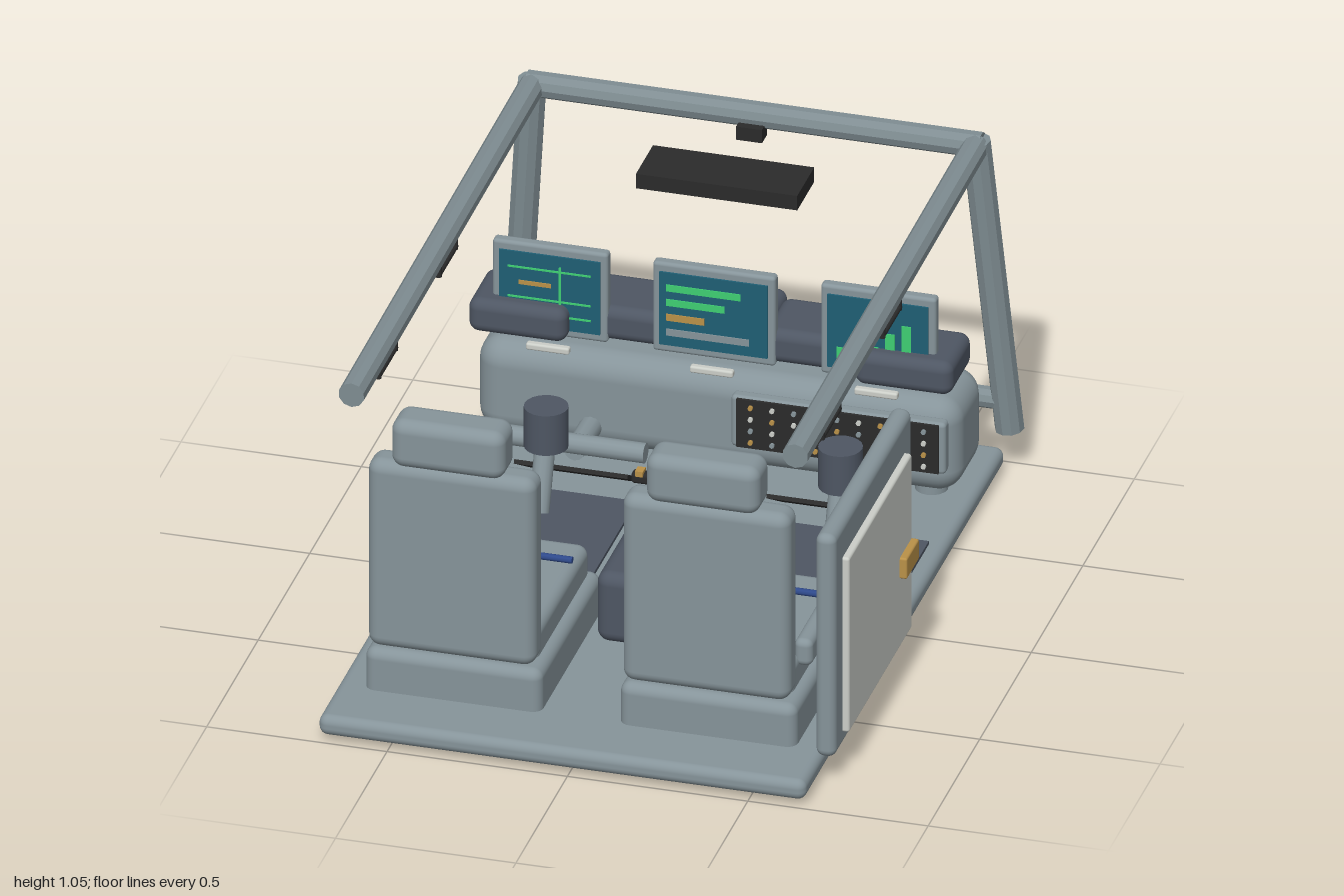
import * as THREE from 'three';
import { RoundedBoxGeometry } from 'three/addons/geometries/RoundedBoxGeometry.js';

const mat = (name, color, flat = false) => {
  const m = new THREE.MeshStandardMaterial({ color });
  m.name = name;
  m.flatShading = flat;
  return m;
};

export function createModel() {
  const body = mat('greyBody', 0x86949a);
  const cageMat = mat('greyCage', 0x7f8d92, true);
  const slate = mat('slatePadding', 0x4e5663);
  const black = mat('blackTrim', 0x2b2b2b);
  const pale = mat('palePanel', 0xcbcec8);
  const gold = mat('goldFitting', 0xba9148);
  const teal = mat('tealScreen', 0x1f5f74);
  const green = mat('greenReadout', 0x3fcf72);
  const blue = mat('blueWebbing', 0x2f4a8c);

  const root = new THREE.Group();
  root.name = 'vehicleCockpit';
  const cabin = new THREE.Group();
  cabin.name = 'cabin';
  cabin.position.x = -0.018;
  root.add(cabin);

  const group = (name, x = 0, y = 0, z = 0) => {
    const g = new THREE.Group();
    g.name = name;
    g.position.set(x, y, z);
    cabin.add(g);
    return g;
  };
  const add = (parent, name, geo, m, x = 0, y = 0, z = 0) => {
    const mesh = new THREE.Mesh(geo, m);
    mesh.name = name;
    mesh.position.set(x, y, z);
    parent.add(mesh);
    return mesh;
  };
  const box = (p, name, m, w, h, d, x, y, z) =>
    add(p, name, new THREE.BoxGeometry(w, h, d), m, x, y, z);
  const soft = (p, name, m, w, h, d, r, x, y, z) =>
    add(p, name, new RoundedBoxGeometry(w, h, d, 4, r), m, x, y, z);
  // Cylinder between two points
  const rod = (p, name, m, a, b, r, sides = 12, r2 = r) => {
    const A = new THREE.Vector3(...a), B = new THREE.Vector3(...b);
    const dir = B.clone().sub(A);
    const mesh = add(p, name, new THREE.CylinderGeometry(r2, r, dir.length(), sides), m);
    mesh.position.copy(A.add(B).multiplyScalar(0.5));
    mesh.quaternion.setFromUnitVectors(new THREE.Vector3(0, 1, 0), dir.normalize());
    return mesh;
  };

  // Floor, mats and centre console
  soft(cabin, 'floor', body, 1.35, 0.06, 1.95, 0.025, 0, 0.048, 0.025);
  for (const s of [-1, 1]) box(cabin, 'floorMat', slate, 0.45, 0.012, 0.57, s * 0.405, 0.082, -0.08);
  soft(cabin, 'centreConsole', slate, 0.15, 0.21, 0.71, 0.035, 0, 0.185, 0.055);

  // Shift lever
  const lever = group('shiftLever', 0, 0, 0.09);
  add(lever, 'boot', new THREE.CylinderGeometry(0.035, 0.052, 0.045, 16), black, 0, 0.3, 0.005);
  rod(lever, 'stalk', body, [0, 0.31, 0.02], [0, 0.41, 0], 0.01);
  soft(lever, 'gripBar', black, 0.128, 0.032, 0.034, 0.01, 0, 0.42, -0.005);
  for (const s of [-1, 1]) box(lever, 'gripButton', gold, 0.022, 0.016, 0.03, s * 0.04, 0.437, 0);

  // Seats
  for (const s of [-1, 1]) {
    const seat = group('seat', s * 0.353);
    soft(seat, 'seatBase', body, 0.49, 0.2, 0.6, 0.03, 0, 0.1, 0.52);
    soft(seat, 'cushion', body, 0.43, 0.13, 0.52, 0.03, 0, 0.22, 0.495);
    soft(seat, 'sideBolster', body, 0.05, 0.08, 0.41, 0.02, s * 0.225, 0.287, 0.475);
    soft(seat, 'backrest', body, 0.465, 0.567, 0.1, 0.035, 0, 0.5015, 0.792);
    soft(seat, 'headrest', body, 0.315, 0.143, 0.125, 0.035, 0, 0.863, 0.817);
    for (const x of [-0.07, 0.07]) rod(seat, 'headrestPost', body, [x, 0.76, 0.805], [x, 0.82, 0.805], 0.012);
    box(seat, 'backStrip', gold, 0.073, 0.46, 0.009, 0, 0.51, 0.738);
    rod(seat, 'shoulderBelt', blue, [-0.172, 0.825, 0.75], [0.012, 0.3, 0.365], 0.01, 8);
    rod(seat, 'lapBelt', blue, [-0.205, 0.3, 0.37], [0.205, 0.3, 0.37], 0.01, 8);
    soft(seat, 'buckle', gold, 0.065, 0.03, 0.022, 0.006, 0, 0.302, 0.362);
  }

  // Dashboard with feet
  soft(cabin, 'dashboard', body, 1.34, 0.282, 0.27, 0.07, 0, 0.286, -0.635);
  for (const s of [-1, 1])
    add(cabin, 'dashboardFoot', new THREE.CylinderGeometry(0.045, 0.045, 0.12, 16), body, s * 0.55, 0.12, -0.672);

  // Padded hood blocks in a shallow arc
  [[-0.535, -0.54], [-0.268, -0.595], [0, -0.64], [0.268, -0.595], [0.535, -0.54]].forEach(([x, z]) =>
    soft(cabin, 'hoodPad', slate, 0.272, 0.1, 0.21, 0.03, x, 0.538, z));

  // Displays
  const display = (name, x, w, z) => {
    const g = group(name, x, 0.62, z);
    soft(g, 'displayFrame', body, w, 0.27, 0.035, 0.01, 0, 0, 0);
    box(g, 'displayFace', teal, w - 0.04, 0.22, 0.008, 0, 0, 0.019);
    soft(g, 'keyStrip', pale, 0.12, 0.02, 0.022, 0.006, 0, -0.163, 0.033);
    return g;
  };
  const mark = (g, m, w, h, x, y) => box(g, 'readout', m, w, h, 0.004, x, y, 0.024);
  const left = display('gridDisplay', -0.455, 0.32, -0.503);
  for (const y of [-0.07, -0.025, 0.065]) mark(left, green, 0.23, 0.005, 0, y);
  mark(left, green, 0.006, 0.16, 0.03, 0);
  mark(left, gold, 0.09, 0.012, -0.04, 0.02);
  const mid = display('listDisplay', 0, 0.34, -0.5);
  [[0.206, 0.065, green], [0.162, 0.021, green], [0.106, -0.024, gold], [0.23, -0.069, body]]
    .forEach(([w, y, m]) => mark(mid, m, w, 0.02, -0.13 + w / 2, y));
  const right = display('chartDisplay', 0.455, 0.32, -0.503);
  [0.04, 0.07, 0.055, 0.1, 0.13].forEach((h, i) =>
    mark(right, green, 0.026, h, -0.1 + i * 0.045, -0.085 + h / 2));

  // Switch panel
  const panel = group('switchPanel', 0.35, 0.315, -0.48);
  soft(panel, 'panelFrame', body, 0.595, 0.155, 0.04, 0.012, 0, 0, -0.002);
  box(panel, 'panelFace', black, 0.56, 0.145, 0.008, 0, 0, 0.02);
  for (let r = 0; r < 4; r++) {
    for (let c = 0; c < 9; c++) {
      const m = (r * 2 + c) % 3 === 0 ? gold : (r + c) % 2 ? pale : body;
      rod(panel, 'switch', m, [-0.24 + c * 0.06, 0.052 - r * 0.035, 0.02],
        [-0.24 + c * 0.06, 0.052 - r * 0.035, 0.032], 0.007, 8);
    }
  }

  // Steering bar and its column
  const steer = group('steeringBar', -0.347);
  rod(steer, 'column', body, [0, 0.215, -0.52], [0, 0.225, -0.345], 0.032, 12, 0.028);
  rod(steer, 'crossBar', body, [-0.197, 0.247, -0.347], [0.197, 0.247, -0.347], 0.028, 14);

  // Angled foot plates and side grips
  for (const s of [-1, 1]) {
    const plate = box(cabin, 'footPlate', black, 0.315, 0.012, 0.18, s * 0.35, 0.136, -0.398);
    plate.rotation.x = -0.54;
    const grip = group('sideGrip', s * 0.408);
    rod(grip, 'gripStem', body, [0, 0.1, -0.215], [0, 0.3, -0.285], 0.028, 14);
    add(grip, 'gripHead', new THREE.CylinderGeometry(0.06, 0.06, 0.12, 20), slate, 0, 0.325, -0.285);
  }

  // Roll cage
  const cage = group('rollCage');
  for (const s of [-1, 1]) {
    rod(cage, 'roofRail', cageMat, [s * 0.615, 1.0, 0.88], [s * 0.615, 1.018, -0.875], 0.036, 10);
    rod(cage, 'post', cageMat, [s * 0.615, 1.035, -0.875], [s * 0.686, 0.13, -0.953], 0.04, 10);
    // Grab handles below the rails
    for (const z of [0.54, -0.045]) {
      const handle = group('grabHandle', s * 0.615, 0, z);
      rod(handle, 'bar', black, [0, 0.922, -0.085], [0, 0.922, 0.085], 0.009, 8);
      for (const e of [-1, 1]) rod(handle, 'leg', black, [0, 0.915, e * 0.08], [0, 0.985, e * 0.08], 0.009, 8);
    }
  }
  rod(cage, 'roofCrossBar', cageMat, [-0.63, 1.02, -0.88], [0.63, 1.02, -0.88], 0.036, 10);
  rod(cage, 'lowerCrossBar', cageMat, [-0.68, 0.22, -0.945], [0.68, 0.22, -0.945], 0.03, 10);
  box(cage, 'cameraBox', black, 0.072, 0.04, 0.05, 0, 0.985, -0.85);

  // Overhead panel with knobs underneath
  const over = group('overheadPanel', 0, 0.977, -0.593);
  box(over, 'overheadBox', black, 0.447, 0.044, 0.165, 0, 0, 0);
  for (let i = -2; i <= 2; i++)
    for (const z of [-0.035, 0.035])
      rod(over, 'overheadKnob', body, [i * 0.082, -0.04, z], [i * 0.082, -0.02, z], 0.009, 10);

  // Side door on one side only
  const door = group('door', 0.695, 0.427, 0.497);
  soft(door, 'doorShell', body, 0.056, 0.675, 0.756, 0.024, 0, 0, 0);
  soft(door, 'doorSkin', pale, 0.03, 0.53, 0.61, 0.008, 0.032, -0.027, -0.002);
  soft(door, 'doorHandle', gold, 0.03, 0.063, 0.12, 0.006, 0.052, -0.05, -0.247);

  return root;
}
